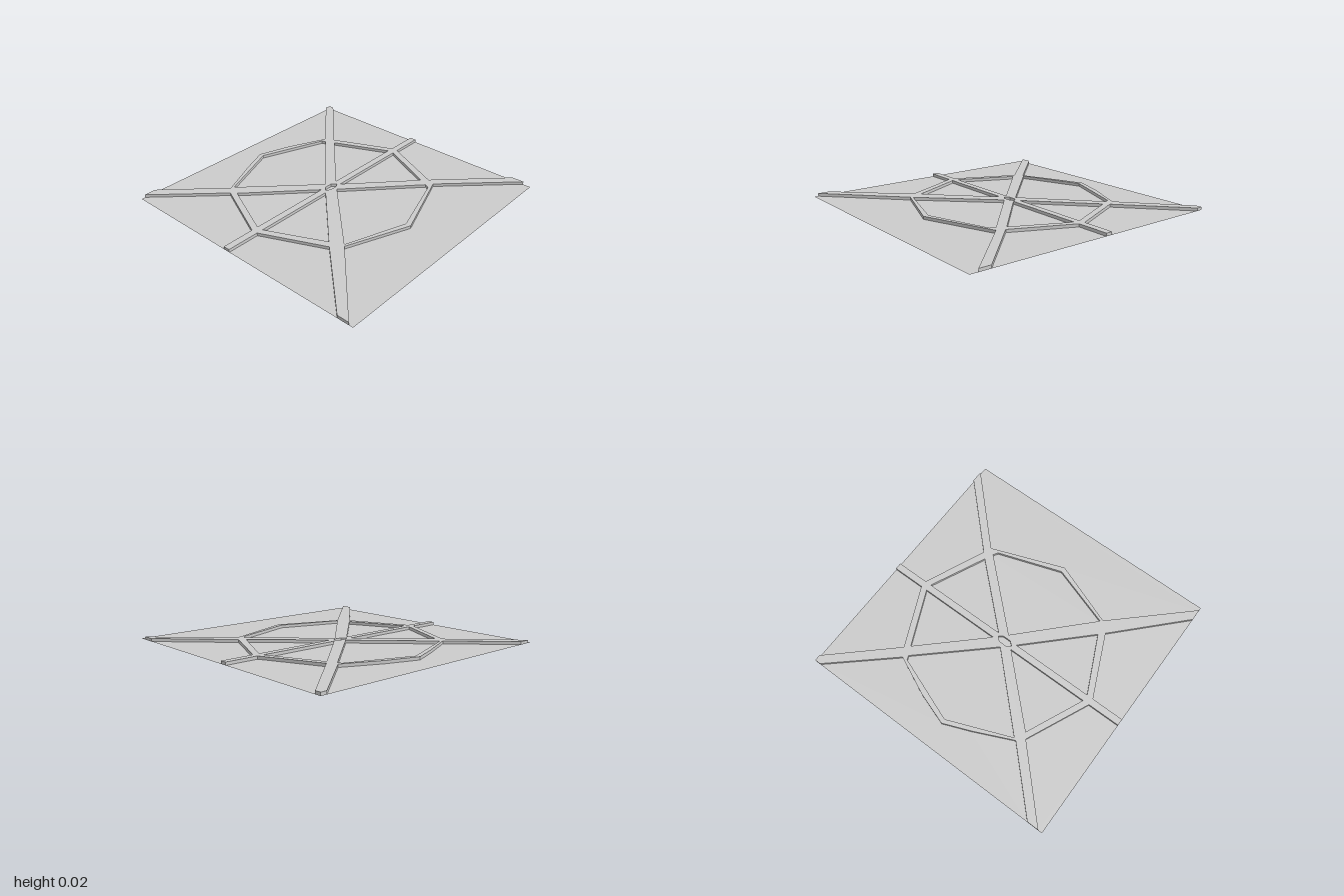
import * as THREE from 'three';

const H = 0.022; // rib height above the panels
const material = new THREE.MeshStandardMaterial({ color: 0xcccccc, side: THREE.DoubleSide, flatShading: true });

// Outer panels as [x, z]: the rib-side edge first, then any corners on the border.
const outer = [
  { name: 'backPanel', edge: [[-0.88, -1], [-0.495, -0.61], [-0.21, -0.74], [-0.01, -0.82], [0.23, -0.74], [0.515, -0.61], [0.955, -1]], corners: [] },
  { name: 'backLeftPanel', edge: [[1, -0.955], [0.555, -0.545], [0.755, -0.1], [1, -0.1]], corners: [] },
  { name: 'frontLeftPanel', edge: [[1, -0.05], [0.755, -0.05], [0.555, 0.4], [1, 0.85]], corners: [] },
  { name: 'frontPanel', edge: [[1, 0.94], [0.53, 0.46], [-0.01, 0.66], [-0.48, 0.48], [-1, 0.97]], corners: [[-1, 1], [1, 1]] },
  { name: 'frontRightPanel', edge: [[-1, 0.88], [-0.55, 0.41], [-0.755, -0.05], [-1, -0.05]], corners: [] },
  { name: 'backRightPanel', edge: [[-1, -0.1], [-0.755, -0.1], [-0.545, -0.56], [-0.97, -1]], corners: [[-1, -1]] },
];

// Panels enclosed by the ribs.
const inner = {
  innerBackPanel: [[-0.475, -0.6], [-0.01, -0.785], [0.475, -0.605], [0.487, -0.575], [0, -0.13]],
  innerBackLeftPanel: [[0.52, -0.51], [0.705, -0.1], [0.085, -0.1]],
  innerFrontLeftPanel: [[0.705, -0.05], [0.515, 0.36], [0.075, -0.05]],
  innerFrontPanel: [[0.005, -0.02], [0.485, 0.425], [0.465, 0.46], [-0.01, 0.62], [-0.465, 0.465]],
  innerFrontRightPanel: [[-0.51, 0.37], [-0.705, -0.05], [-0.085, -0.05]],
  innerBackRightPanel: [[-0.515, -0.52], [-0.075, -0.1], [-0.705, -0.1]],
  centrePanel: [[-0.03, -0.1], [0.03, -0.1], [0.06, -0.07], [0.03, -0.05], [-0.03, -0.05], [-0.06, -0.075]],
};

const toPoints = (list) => list.map(([x, z]) => new THREE.Vector2(x, -z));

// Flat horizontal face at height y, with optional holes
function flatFace(list, y, holes = []) {
  const shape = new THREE.Shape(toPoints(list));
  shape.holes = holes.map((hole) => new THREE.Path(toPoints(hole)));
  return new THREE.ShapeGeometry(shape).rotateX(-Math.PI / 2).translate(0, y, 0);
}

// Upright walls along a closed outline, facing out of the rib
function walls(list, isHole) {
  const clockwise = THREE.ShapeUtils.isClockWise(toPoints(list));
  const loop = clockwise === isHole ? [...list].reverse() : list;
  const positions = [];
  loop.forEach(([ax, az], i) => {
    const [bx, bz] = loop[(i + 1) % loop.length];
    positions.push(ax, 0, az, ax, H, az, bx, H, bz, ax, 0, az, bx, H, bz, bx, 0, bz);
  });
  const geometry = new THREE.BufferGeometry();
  geometry.setAttribute('position', new THREE.Float32BufferAttribute(positions, 3));
  geometry.computeVertexNormals();
  return geometry;
}

export function createModel() {
  const model = new THREE.Group();
  model.name = 'ribbedSheet';
  const add = (name, geometry, parent) => {
    const mesh = new THREE.Mesh(geometry, material);
    mesh.name = name;
    parent.add(mesh);
  };

  // Low panels
  const panels = new THREE.Group();
  panels.name = 'panels';
  outer.forEach(({ name, edge, corners }) => add(name, flatFace([...edge, ...corners], 0), panels));
  Object.entries(inner).forEach(([name, list]) => add(name, flatFace(list, 0), panels));

  // Raised hollow ribs: the outline follows the outer panels around the border
  const outline = outer.flatMap(({ edge }, i) => (i === 0 ? [...edge, [1, -1]] : edge));
  const holes = Object.values(inner);
  const ribs = new THREE.Group();
  ribs.name = 'ribs';
  add('ribTop', flatFace(outline, H, holes), ribs);
  add('ribOuterWalls', walls(outline, false), ribs);
  holes.forEach((hole) => add('ribInnerWalls', walls(hole, true), ribs));

  model.add(panels, ribs);
  return model;
}
